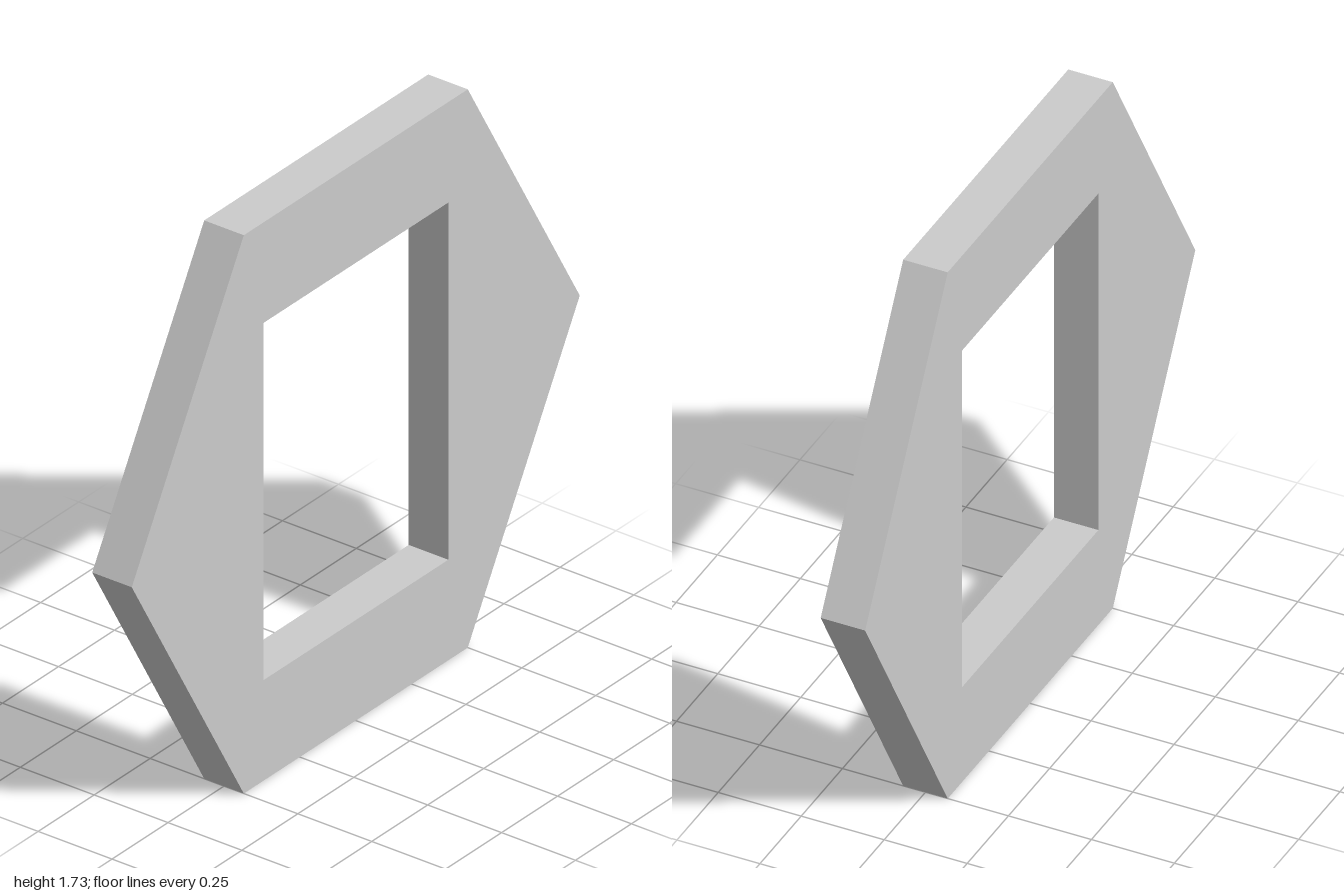
import * as THREE from 'three';

const RADIUS = 1;
const DEPTH = 0.134;
const HOLE_X = 0.413; // half width of the window
const HOLE_Y = 0.554; // half height of the window

export function createModel() {
  const group = new THREE.Group();
  group.name = 'hexagonalFrame';

  // Regular hexagon with points to the left and right
  const corners = [];
  for (let i = 0; i < 6; i++) {
    const a = (i * Math.PI) / 3;
    corners.push(new THREE.Vector2(RADIUS * Math.cos(a), RADIUS * Math.sin(a)));
  }
  const outline = new THREE.Shape(corners);

  // Rectangular window through the middle
  outline.holes.push(new THREE.Path([
    new THREE.Vector2(-HOLE_X, -HOLE_Y),
    new THREE.Vector2(-HOLE_X, HOLE_Y),
    new THREE.Vector2(HOLE_X, HOLE_Y),
    new THREE.Vector2(HOLE_X, -HOLE_Y),
  ]));

  const geometry = new THREE.ExtrudeGeometry(outline, { depth: DEPTH, bevelEnabled: false });
  geometry.translate(0, RADIUS * Math.sin(Math.PI / 3), -DEPTH / 2);

  const plate = new THREE.Mesh(
    geometry,
    new THREE.MeshStandardMaterial({ color: 0xcccccc, flatShading: true }),
  );
  plate.name = 'hexagonalPlate';
  group.add(plate);
  return group;
}
